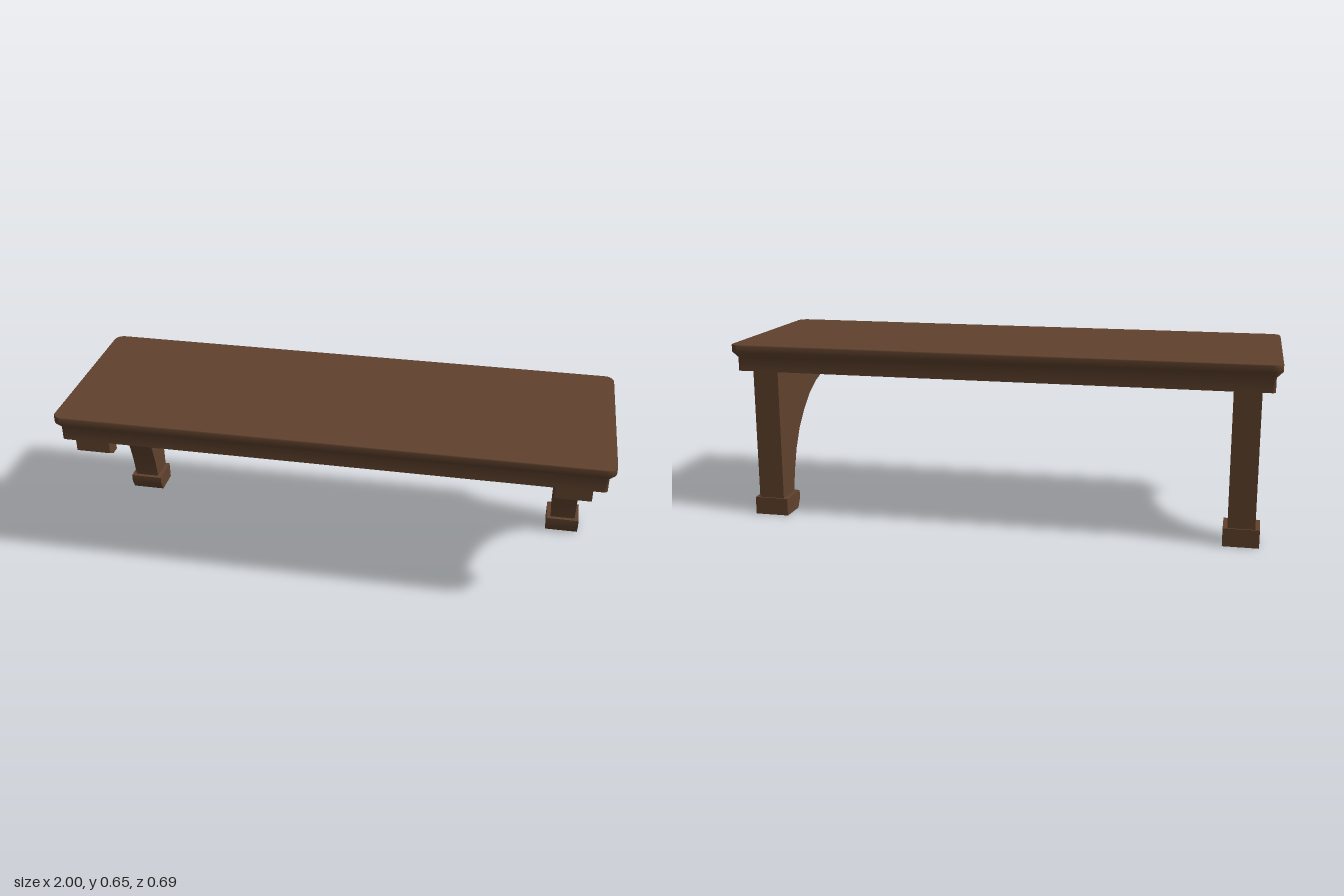
import * as THREE from 'three';
import { toCreasedNormals } from 'three/addons/utils/BufferGeometryUtils.js';

const TOP_X = 1, TOP_Z = 0.345, CORNER = 0.035, CORNER_STEPS = 5;

// Rounded rectangle, shrunk by inset, at height y
function ring(y, inset) {
  const points = [], r = CORNER - inset;
  const signs = [[1, 1], [-1, 1], [-1, -1], [1, -1]];
  signs.forEach(([sx, sz], quarter) => {
    for (let k = 0; k <= CORNER_STEPS; k++) {
      const a = (quarter + k / CORNER_STEPS) * Math.PI / 2;
      points.push(sx * (TOP_X - CORNER) + r * Math.cos(a), y,
        sz * (TOP_Z - CORNER) + r * Math.sin(a));
    }
  });
  return points;
}

// Moulded slab: smooth lofted rim with separate flat caps
function slabGeometry(profile) {
  const n = 4 * (CORNER_STEPS + 1), positions = [], index = [];
  profile.forEach(([y, inset]) => positions.push(...ring(y, inset)));
  for (let j = 0; j < profile.length - 1; j++) {
    for (let i = 0; i < n; i++) {
      const a = j * n + i, b = j * n + (i + 1) % n;
      index.push(a, a + n, b, b, a + n, b + n);
    }
  }
  for (const [end, isTop] of [[profile[0], false], [profile[profile.length - 1], true]]) {
    const start = positions.length / 3, centre = start + n;
    positions.push(...ring(...end), 0, end[0], 0);
    for (let i = 0; i < n; i++) {
      const a = start + i, b = start + (i + 1) % n;
      index.push(centre, isTop ? b : a, isTop ? a : b);
    }
  }
  const geometry = new THREE.BufferGeometry();
  geometry.setAttribute('position', new THREE.Float32BufferAttribute(positions, 3));
  geometry.setIndex(index);
  geometry.computeVertexNormals();
  return geometry;
}

// Side outline given as [z, y], extruded across x and centred
function sideExtrude(outline, width) {
  const shape = new THREE.Shape(outline.map(([z, y]) => new THREE.Vector2(z, y)));
  const geometry = new THREE.ExtrudeGeometry(shape, { depth: width, bevelEnabled: false });
  geometry.translate(0, 0, -width / 2);
  geometry.rotateY(-Math.PI / 2);
  return toCreasedNormals(geometry, 0.6);
}

export function createModel() {
  const model = new THREE.Group();
  model.name = 'shelf';
  const wood = new THREE.MeshStandardMaterial({ color: 0x60422d });
  wood.name = 'dark brown wood';

  const add = (parent, name, geometry) => {
    const mesh = new THREE.Mesh(geometry, wood);
    mesh.name = name;
    parent.add(mesh);
  };

  // Shelf board with moulded edge
  add(model, 'shelfBoard', slabGeometry([
    [0.555, 0.022], [0.606, 0.022], [0.628, 0], [0.652, 0], [0.655, 0.003],
  ]));

  // Curved bracket, foot block and front block
  const bracket = sideExtrude([
    [-0.319, 0.05], [-0.219, 0.05], [-0.219, 0.067], [-0.202, 0.148], [-0.178, 0.226],
    [-0.14, 0.299], [-0.086, 0.362], [-0.023, 0.416], [0.051, 0.455],
    [0.128, 0.479], [0.212, 0.497], [0.212, 0.557], [-0.319, 0.557],
  ], 0.096);
  const foot = sideExtrude([
    [-0.325, 0], [-0.223, 0], [-0.204, 0.035], [-0.204, 0.066], [-0.325, 0.066],
  ], 0.128);
  const frontBlock = sideExtrude([
    [0.207, 0.462], [0.241, 0.462], [0.273, 0.48], [0.273, 0.557], [0.207, 0.557],
  ], 0.128);

  for (const [side, x] of [['left', 0.87], ['right', -0.886]]) {
    const support = new THREE.Group();
    support.name = `${side}Support`;
    support.position.x = x;
    add(support, `${side}Bracket`, bracket);
    add(support, `${side}Foot`, foot);
    add(support, `${side}FrontBlock`, frontBlock);
    model.add(support);
  }
  return model;
}
